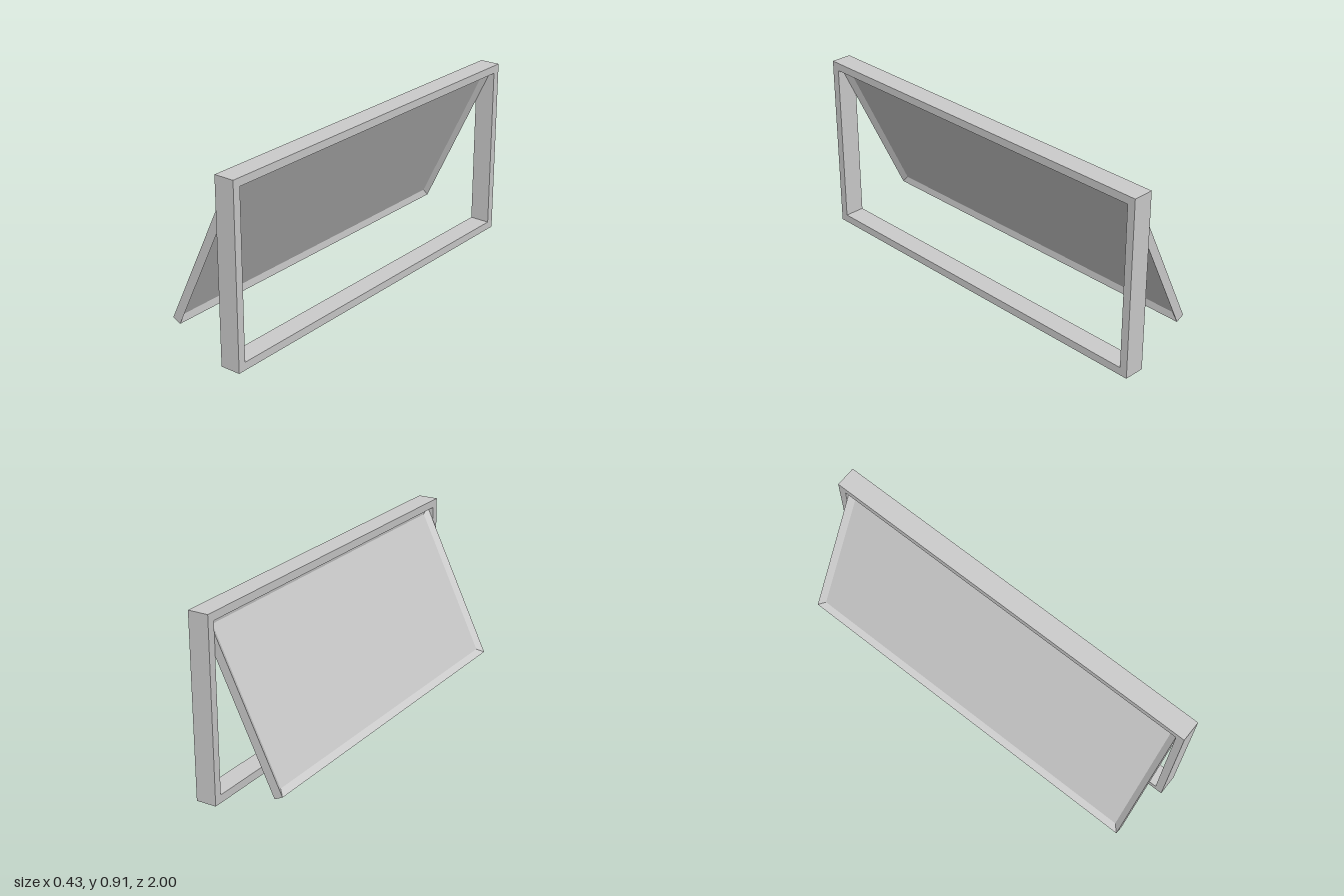
import * as THREE from 'three';

const material = new THREE.MeshStandardMaterial({ color: 0xcccccc, flatShading: true });

function addMesh(parent, geometry, name) {
  const mesh = new THREE.Mesh(geometry, material);
  mesh.name = name;
  parent.add(mesh);
  return mesh;
}

// Rectangle outline in the z/y plane, corners in order around +x
function rectangle(x, halfY, halfZ) {
  return [[x, -halfY, -halfZ], [x, halfY, -halfZ], [x, halfY, halfZ], [x, -halfY, halfZ]];
}

// Joins successive rectangles with mitred quads
function rectangularLoft(rings) {
  const points = [];
  for (let r = 0; r < rings.length - 1; r++) {
    for (let i = 0; i < 4; i++) {
      const j = (i + 1) % 4;
      const a = rings[r][i], b = rings[r][j], c = rings[r + 1][j], d = rings[r + 1][i];
      points.push(...a, ...d, ...b, ...b, ...d, ...c);
    }
  }
  const geometry = new THREE.BufferGeometry();
  geometry.setAttribute('position', new THREE.Float32BufferAttribute(points, 3));
  geometry.computeVertexNormals();
  return geometry;
}

// Fixed outer frame with a rectangular opening
function createFrame() {
  const height = 0.908, depth = 0.104, rail = 0.04;
  const shape = new THREE.Shape([
    new THREE.Vector2(-1, 0), new THREE.Vector2(1, 0),
    new THREE.Vector2(1, height), new THREE.Vector2(-1, height),
  ]);
  const z = 1 - rail;
  shape.holes.push(new THREE.Path([
    new THREE.Vector2(-z, rail), new THREE.Vector2(-z, height - rail),
    new THREE.Vector2(z, height - rail), new THREE.Vector2(z, rail),
  ]));
  const geometry = new THREE.ExtrudeGeometry(shape, { depth, bevelEnabled: false });
  geometry.rotateY(Math.PI / 2);
  geometry.translate(0.113, 0, 0);
  return geometry;
}

// Tilting sash: bevelled mitred rails around a thin pane
function createSash() {
  const sash = new THREE.Group();
  sash.name = 'sash';
  const halfY = 0.418, halfZ = 0.957, halfT = 0.0233;
  const inset = 0.032, paneHalf = 0.004;
  const innerY = halfY - inset, innerZ = halfZ - inset;
  addMesh(sash, rectangularLoft([
    rectangle(paneHalf, innerY, innerZ),
    rectangle(halfT, halfY, halfZ),
    rectangle(-halfT, halfY, halfZ),
    rectangle(-paneHalf, innerY, innerZ),
  ]), 'sashRails');
  addMesh(sash, new THREE.BoxGeometry(paneHalf * 2, innerY * 2, innerZ * 2), 'pane');
  sash.rotation.z = -0.448;
  sash.position.set(-0.015, 0.485, 0);
  return sash;
}

export function createModel() {
  const model = new THREE.Group();
  model.name = 'awningWindow';
  addMesh(model, createFrame(), 'outerFrame');
  model.add(createSash());
  return model;
}
